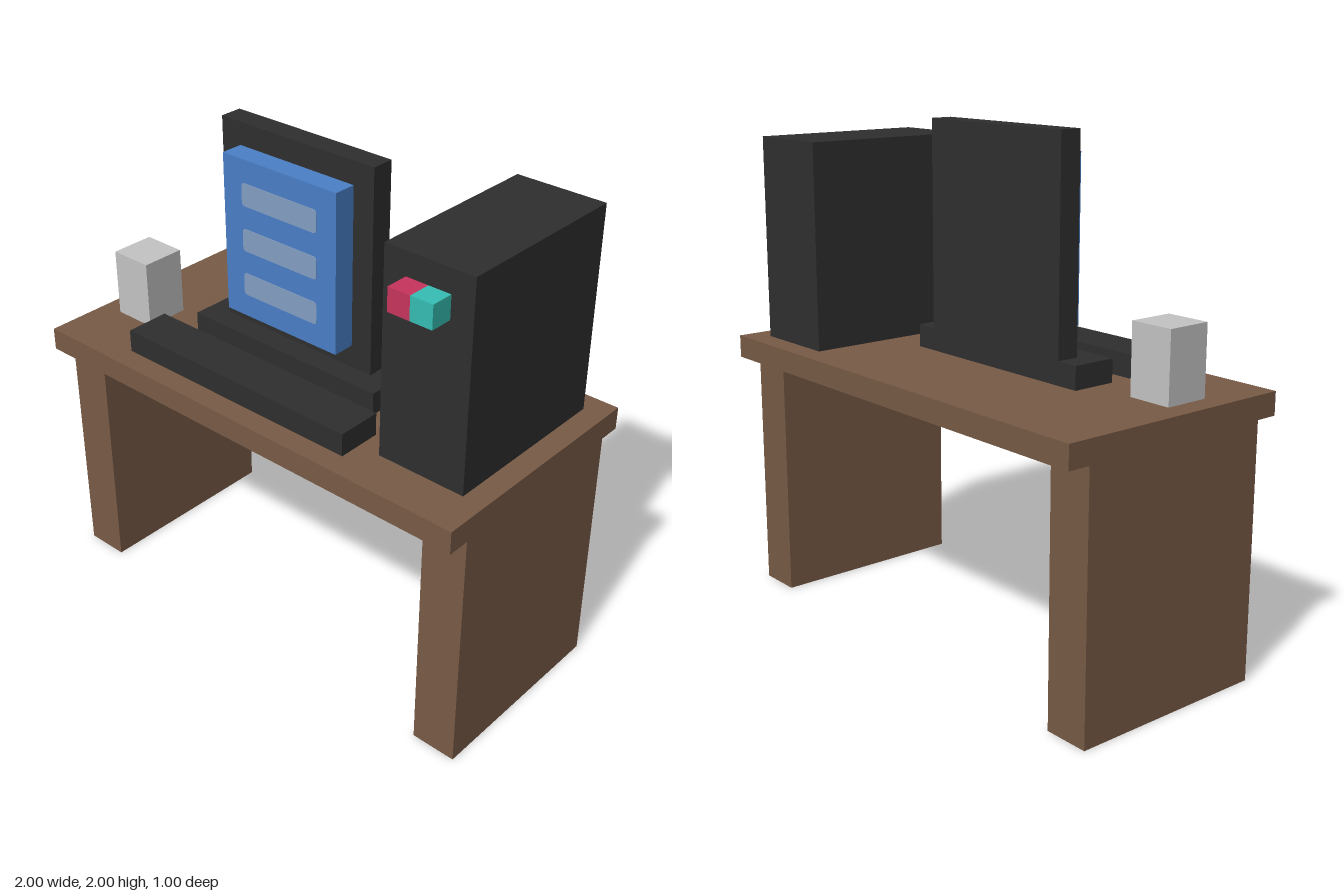
import * as THREE from 'three';

const material = (name, color) => {
  const m = new THREE.MeshStandardMaterial({ color });
  m.name = name;
  return m;
};

export function createModel() {
  const wood = material('brown wood', 0x785b46);
  const dark = material('charcoal plastic', 0x2f2f2f);
  const blue = material('screen blue', 0x4a80c8);
  const pale = material('pale line', 0x849fc3);
  const grey = material('light grey', 0xc4c4c4);
  const red = material('red', 0xc8345c);
  const teal = material('teal', 0x36beb4);

  const model = new THREE.Group();
  model.name = 'computerDesk';
  const U = 1 / 11; // every part sits on a grid of eleventh units

  // Box between two corners given in grid units
  const box = (name, mat, [x0, x1], [y0, y1], [z0, z1], parent = model) => {
    const geo = new THREE.BoxGeometry((x1 - x0) * U, (y1 - y0) * U, (z1 - z0) * U);
    const mesh = new THREE.Mesh(geo, mat);
    mesh.position.set(((x0 + x1) / 2) * U, ((y0 + y1) / 2) * U, ((z0 + z1) / 2) * U);
    mesh.name = name;
    parent.add(mesh);
    return mesh;
  };
  const group = (name) => {
    const g = new THREE.Group();
    g.name = name;
    model.add(g);
    return g;
  };

  // Desk
  const desk = group('desk');
  box('deskTop', wood, [-11, 11], [11, 12], [-5.5, 5.5], desk);
  box('leftLeg', wood, [9, 11], [0, 11], [-4.5, 4.5], desk);
  box('rightLeg', wood, [-11, -9], [0, 11], [-4.5, 4.5], desk);

  // Monitor
  const monitor = group('monitor');
  box('monitorBase', dark, [-6, 4], [12, 13], [-0.5, 1.5], monitor);
  box('monitorPanel', dark, [-5, 3], [13, 22], [-0.5, 0.5], monitor);
  box('screen', blue, [-4, 2], [14, 21], [0.5, 1.5], monitor);

  // Rounded lines shown on the screen
  const w = 2 * U, h = 0.5 * U, r = 0.016;
  const line = new THREE.Shape();
  line.moveTo(-w + r, -h);
  line.lineTo(w - r, -h);
  line.quadraticCurveTo(w, -h, w, -h + r);
  line.lineTo(w, h - r);
  line.quadraticCurveTo(w, h, w - r, h);
  line.lineTo(-w + r, h);
  line.quadraticCurveTo(-w, h, -w, h - r);
  line.lineTo(-w, -h + r);
  line.quadraticCurveTo(-w, -h, -w + r, -h);
  const lineGeo = new THREE.ExtrudeGeometry(line, { depth: 0.002, bevelEnabled: false, curveSegments: 4 });
  for (const y of [15.5, 17.5, 19.5]) {
    const mesh = new THREE.Mesh(lineGeo, pale);
    mesh.position.set(-U, y * U, 1.5 * U);
    mesh.name = 'screenLine';
    monitor.add(mesh);
  }

  // Keyboard and cup
  box('keyboard', dark, [-7, 5], [12, 13], [2.5, 4.5]);
  box('cup', grey, [-10, -8], [12, 15], [0.5, 2.5]);

  // Computer tower with two buttons
  const tower = group('tower');
  box('towerCase', dark, [6, 10], [12, 21], [-4.5, 3.5], tower);
  box('redButton', red, [7, 8], [19, 20], [3.5, 4.5], tower);
  box('tealButton', teal, [8, 9], [19, 20], [3.5, 4.5], tower);

  return model;
}
